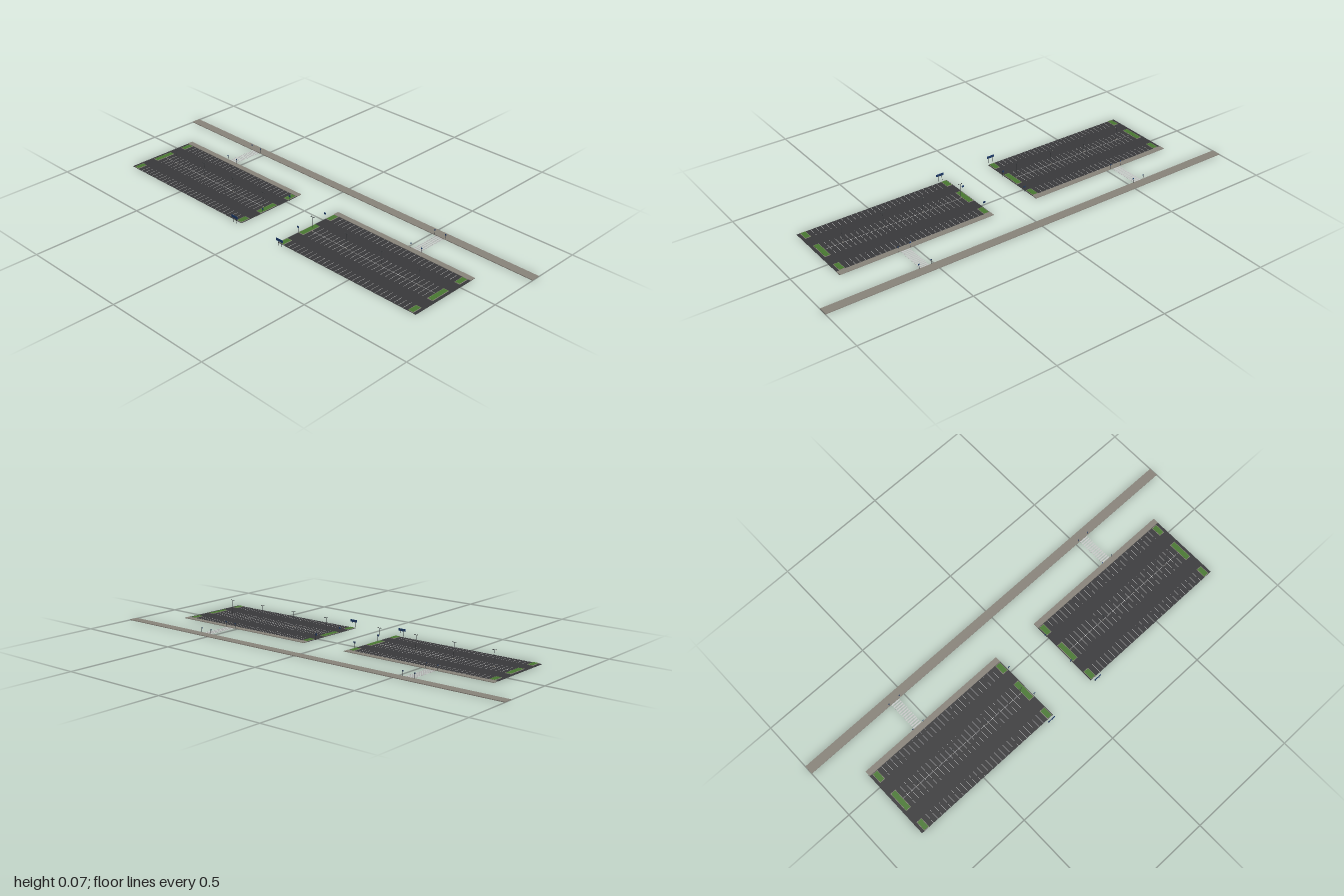
import * as THREE from 'three';

const mat = (color) => new THREE.MeshStandardMaterial({ color });
const asphalt = mat(0x3a3a3c), concrete = mat(0x8a857c), grass = mat(0x4a7a32), paint = mat(0xdcdcdc);
const metal = mat(0x3c3f42), navy = mat(0x1c3a6b), lampGlass = mat(0xe8e4d0);

// Box given by its ranges on x, y and z
function block(parent, name, material, x0, x1, y0, y1, z0, z1) {
  const mesh = new THREE.Mesh(new THREE.BoxGeometry(x1 - x0, y1 - y0, z1 - z0), material);
  mesh.position.set((x0 + x1) / 2, (y0 + y1) / 2, (z0 + z1) / 2);
  mesh.name = name;
  parent.add(mesh);
  return mesh;
}

function post(parent, name, x, z, height, radius) {
  const mesh = new THREE.Mesh(new THREE.CylinderGeometry(radius, radius, height, 8), metal);
  mesh.position.set(x, height / 2, z);
  mesh.name = name;
  parent.add(mesh);
}

// Post with a small flat board facing front and back
function sign(parent, name, x, z, height, width, boardHeight) {
  const g = new THREE.Group();
  g.name = name;
  post(g, 'signPost', 0, 0, height, 0.0007);
  block(g, 'signBoard', navy, -width / 2, width / 2, height - boardHeight, height, 0.0006, 0.0016);
  g.position.set(x, 0, z);
  parent.add(g);
}

// Pole with two arms and lamp heads
function lamp(parent, x, z) {
  const g = new THREE.Group();
  g.name = 'lamp';
  post(g, 'lampPole', 0, 0, 0.07, 0.0009);
  block(g, 'lampFoot', concrete, -0.002, 0.002, 0.001, 0.005, -0.002, 0.002);
  block(g, 'lampArm', metal, -0.008, 0.008, 0.0695, 0.0705, -0.0005, 0.0005);
  for (const s of [-1, 1]) {
    const cx = s * 0.0075;
    block(g, 'lampHead', metal, cx - 0.0025, cx + 0.0025, 0.0702, 0.0718, -0.0015, 0.0015);
    block(g, 'lampLight', lampGlass, cx - 0.002, cx + 0.002, 0.0697, 0.0702, -0.001, 0.001);
  }
  g.position.set(x, 0, z);
  parent.add(g);
}

// Planted island: curb with grass inset
function island(parent, x0, x1, z0, z1) {
  block(parent, 'islandCurb', concrete, x0, x1, 0.001, 0.003, z0, z1);
  block(parent, 'islandGrass', grass, x0 + 0.002, x1 - 0.002, 0.002, 0.0036, z0 + 0.002, z1 - 0.002);
}

// One car park; side is +1 for the left one and -1 for the right one
function parkingLot(side) {
  const lot = new THREE.Group();
  lot.name = side > 0 ? 'leftParkingLot' : 'rightParkingLot';
  const span = (a, b) => (side > 0 ? [a, b] : [-b, -a]);
  block(lot, 'asphalt', asphalt, ...span(0.11, 0.835), 0, 0.0012, -0.088, 0.258);
  block(lot, 'lotSidewalk', concrete, ...span(0.11, 0.835), 0.0005, 0.003, -0.09, -0.064);

  // Parking rows: islands at both ends, stall lines between them
  for (const [z0, z1] of [[-0.062, -0.013], [0.05, 0.147], [0.21, 0.257]]) {
    island(lot, ...span(0.113, 0.14), z0, z1);
    island(lot, ...span(0.796, 0.822), z0, z1);
    for (let i = 1; i < 28; i++) {
      const x = side * (0.14 + (i * 0.656) / 28);
      block(lot, 'stallLine', paint, x - 0.0006, x + 0.0006, 0.001, 0.0015, z0, z1);
    }
  }
  block(lot, 'rowCentreLine', paint, ...span(0.14, 0.796), 0.001, 0.0015, 0.098, 0.0992);

  for (const x of [0.147, 0.336, 0.524, 0.714]) lamp(lot, side * x, 0.1);

  // Entrance board on two posts and two small signs by the aisle
  const entry = new THREE.Group();
  entry.name = 'entranceSign';
  for (const x of [0.124, 0.143]) post(entry, 'entrancePost', side * x, 0.273, 0.03, 0.001);
  block(entry, 'entranceBoard', navy, ...span(0.115, 0.152), 0.022, 0.033, 0.2735, 0.275);
  lot.add(entry);
  for (const z of [-0.016, 0.141]) sign(lot, 'aisleSign', side * 0.105, z, 0.028, 0.01, 0.008);
  return lot;
}

// Striped crossing with a sign at each corner
function crossing(x) {
  const g = new THREE.Group();
  g.name = 'crosswalk';
  const n = 13, step = 0.145 / n;
  for (let i = 0; i < n; i++) {
    const z = -0.235 + (i + 0.5) * step;
    block(g, 'crosswalkStripe', paint, x - 0.021, x + 0.021, 0, 0.0012, z - step / 4, z + step / 4);
  }
  for (const dx of [-0.028, 0.028]) {
    for (const z of [-0.237, -0.088]) sign(g, 'crosswalkSign', x + dx, z, 0.026, 0.006, 0.006);
  }
  return g;
}

export function createModel() {
  const model = new THREE.Group();
  model.name = 'parkingArea';
  block(model, 'mainSidewalk', concrete, -1, 1, 0, 0.003, -0.275, -0.234);
  for (const side of [1, -1]) model.add(parkingLot(side));
  for (const x of [-0.55, 0.542]) model.add(crossing(x));
  return model;
}
